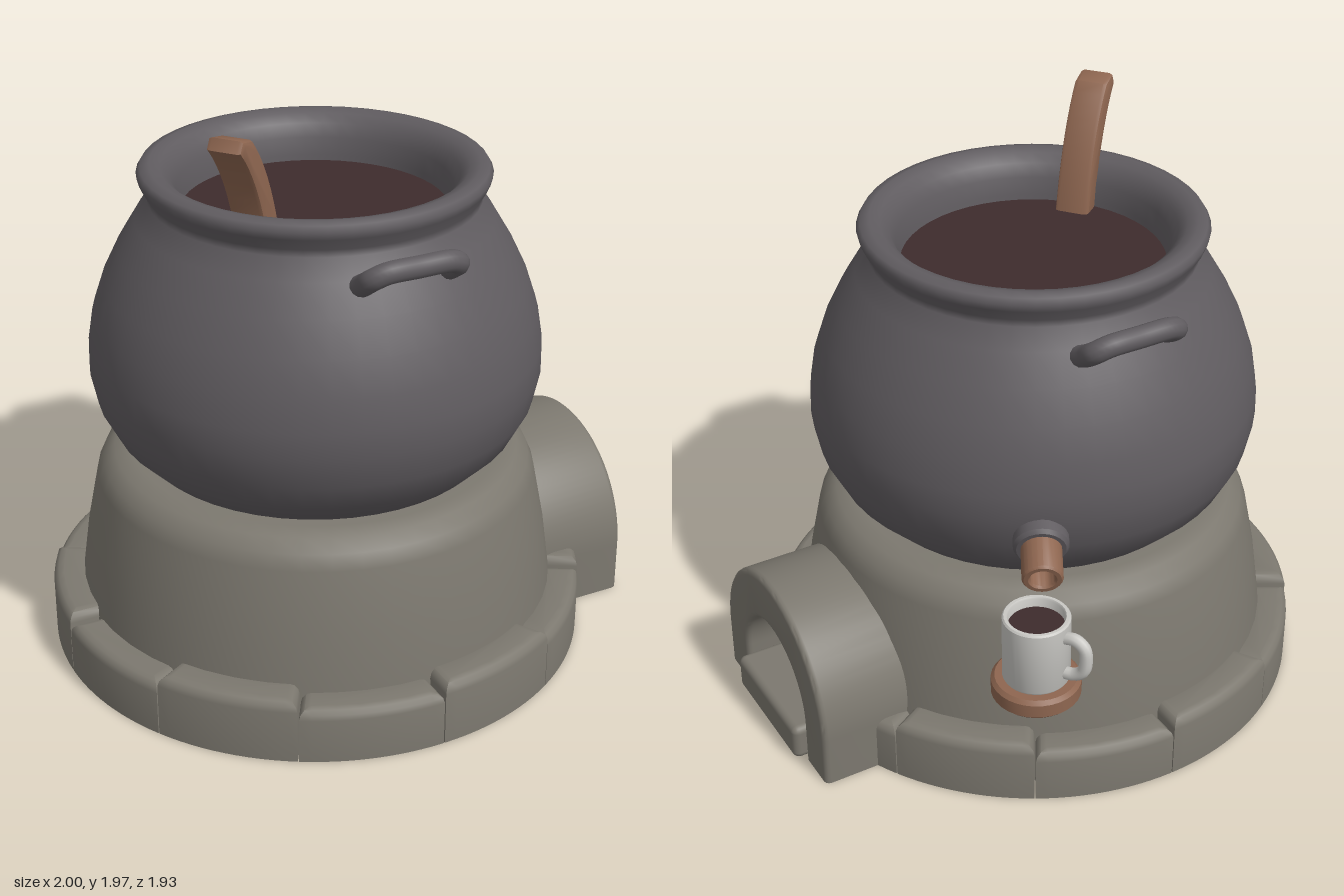
import * as THREE from 'three';
import { toCreasedNormals } from 'three/addons/utils/BufferGeometryUtils.js';
import { RoundedBoxGeometry } from 'three/addons/geometries/RoundedBoxGeometry.js';

const colour = (name, hex, extra = {}) => {
  const m = new THREE.MeshStandardMaterial({ color: hex, ...extra });
  m.name = name;
  return m;
};

const vec2 = pts => pts.map(p => new THREE.Vector2(p[0], p[1]));
const vec3 = pts => new THREE.CatmullRomCurve3(pts.map(p => new THREE.Vector3(...p)));

export function createModel() {
  const stone = colour('stone', 0x7c786f, { side: THREE.DoubleSide });
  const iron = colour('castIron', 0x605c60);
  const wood = colour('wood', 0x8e6650);
  const brew = colour('brew', 0x3e2c2d);
  const china = colour('china', 0xc9c8c4);

  const model = new THREE.Group();
  model.name = 'cauldronOnHearth';
  const body = new THREE.Group(); // everything centred on the pot's axis
  body.name = 'body';
  body.position.set(-0.075, 0, 0.035);
  model.add(body);

  const add = (parent, name, geometry, material) => {
    const mesh = new THREE.Mesh(geometry, material);
    mesh.name = name;
    parent.add(mesh);
    return mesh;
  };

  // Hollow hearth wall
  add(body, 'hearth', new THREE.LatheGeometry(vec2([
    [0.84, 0], [0.825, 0.2], [0.797, 0.4], [0.757, 0.6], [0.735, 0.65], [0.695, 0.688], [0.64, 0.7], [0.5, 0.7],
  ]), 48), stone);

  // Ring of rounded kerb stones, alternating in height
  const bevel = 0.035;
  for (let i = 0; i < 12; i++) {
    const a0 = i * Math.PI / 6 + 0.002, a1 = (i + 1) * Math.PI / 6 - 0.002;
    const h = i % 2 ? 0.222 : 0.192;
    const s = new THREE.Shape();
    s.absarc(0, 0, 0.93, a0, a1, false);
    s.absarc(0, 0, 0.79, a1, a0, true);
    s.closePath();
    const g = new THREE.ExtrudeGeometry(s, {
      depth: h - bevel, bevelThickness: bevel, bevelSize: bevel, bevelOffset: -bevel, bevelSegments: 3, curveSegments: 6,
    });
    g.rotateX(-Math.PI / 2);
    const p = g.attributes.position; // flat underside on the ground
    for (let k = 0; k < p.count; k++) if (p.getY(k) < 0) p.setY(k, 0);
    // -z side starts one step further round so that heights alternate
    add(body, 'kerbStone', toCreasedNormals(g, 0.65), stone).rotation.y = -Math.PI / 3;
  }

  // Fire door: arch with an open mouth, facing +x
  const arch = new THREE.Shape();
  arch.moveTo(0.395, 0);
  arch.lineTo(0.395, 0.18);
  arch.absarc(0, 0.18, 0.395, 0, Math.PI, false);
  arch.lineTo(-0.395, 0);
  arch.lineTo(-0.235, 0);
  arch.lineTo(-0.235, 0.158);
  arch.absarc(0, 0.158, 0.235, Math.PI, 0, true);
  arch.lineTo(0.235, 0);
  arch.closePath();
  const archGeo = new THREE.ExtrudeGeometry(arch, {
    depth: 0.33, bevelThickness: 0.02, bevelSize: 0.02, bevelOffset: -0.02, bevelSegments: 3, curveSegments: 24,
  });
  archGeo.rotateY(Math.PI / 2);
  const ap = archGeo.attributes.position;
  for (let k = 0; k < ap.count; k++) if (ap.getY(k) < 0.025) ap.setY(k, 0);
  add(body, 'fireArch', toCreasedNormals(archGeo, 0.65), stone).position.x = 0.685;

  // Sill slab in the mouth
  add(body, 'sill', new RoundedBoxGeometry(0.41, 0.132, 0.472, 3, 0.025), stone).position.set(0.87, 0.066, 0);

  // Pot with rolled rim and inner wall
  add(body, 'pot', new THREE.LatheGeometry(vec2([
    [0, 0.6], [0.35, 0.61], [0.5, 0.65], [0.6, 0.7], [0.69, 0.79], [0.742, 0.89], [0.765, 1.0], [0.763, 1.09],
    [0.745, 1.2], [0.708, 1.31], [0.655, 1.42], [0.595, 1.52], [0.55, 1.585], [0.552, 1.61], [0.575, 1.65],
    [0.582, 1.675], [0.57, 1.695], [0.54, 1.703], [0.505, 1.692], [0.475, 1.665], [0.455, 1.62], [0.445, 1.56], [0.44, 1.5],
  ]), 48), iron);
  const surface = add(body, 'brewSurface', new THREE.CircleGeometry(0.45, 48), brew);
  surface.rotation.x = -Math.PI / 2;
  surface.position.y = 1.54;

  // Tilted loop handles, front and back
  for (const side of [1, -1]) {
    const path = vec3([
      [-0.153, 1.485, 0.54], [-0.153, 1.515, 0.6], [-0.148, 1.55, 0.65], [-0.11, 1.57, 0.668],
      [0, 1.572, 0.67], [0.11, 1.57, 0.668], [0.148, 1.55, 0.65], [0.153, 1.515, 0.6], [0.153, 1.485, 0.54],
    ].map(([x, y, z]) => [x, y, z]));
    const handle = add(body, side > 0 ? 'frontHandle' : 'backHandle', new THREE.TubeGeometry(path, 40, 0.036, 12), iron);
    handle.rotation.y = side > 0 ? 0 : Math.PI;
    handle.position.x = 0.018;
  }

  // Curved stirring paddle leaning on the rim
  const paddle = new THREE.Shape();
  paddle.moveTo(0.35, 1.48);
  paddle.quadraticCurveTo(0.41, 1.8, 0.55, 1.95);
  paddle.lineTo(0.615, 1.965);
  paddle.lineTo(0.635, 1.93);
  paddle.quadraticCurveTo(0.49, 1.78, 0.44, 1.48);
  paddle.closePath();
  const paddleGeo = new THREE.ExtrudeGeometry(paddle, {
    depth: 0.09, bevelThickness: 0.015, bevelSize: 0.015, bevelOffset: -0.015, bevelSegments: 2, curveSegments: 10,
  });
  paddleGeo.translate(0, 0, -0.045);
  add(body, 'paddle', toCreasedNormals(paddleGeo, 0.65), wood).rotation.y = Math.PI + Math.atan2(0.62, 0.78);

  // Spigot: iron collar and hollow wooden spout pointing out and slightly down
  const spigot = new THREE.Group();
  spigot.name = 'spigot';
  const out = new THREE.Vector3(0.48, -0.3, -0.877).normalize();
  spigot.quaternion.setFromUnitVectors(new THREE.Vector3(0, 1, 0), out);
  spigot.position.set(0.48 * 0.72, 0.935, -0.877 * 0.72);
  body.add(spigot);
  const tubeProfile = (pts, seg) => toCreasedNormals(new THREE.LatheGeometry(vec2(pts), seg), 0.65);
  add(spigot, 'collar', tubeProfile([[0.09, -0.05], [0.09, 0.055], [0.08, 0.068], [0, 0.068]], 24), iron);
  add(spigot, 'spout', tubeProfile([
    [0.066, 0], [0.066, 0.18], [0.06, 0.188], [0.046, 0.188], [0.04, 0.18], [0.04, 0.08], [0, 0.08],
  ], 24), wood);

  // Mug on a round wooden stand
  const mug = new THREE.Group();
  mug.name = 'mugAndStand';
  mug.position.set(0.4, 0, -0.79);
  model.add(mug);
  add(mug, 'stand', tubeProfile([
    [0, 0.483], [0.133, 0.483], [0.145, 0.495], [0.145, 0.54], [0.133, 0.553], [0, 0.553],
  ], 32), wood);
  add(mug, 'cup', tubeProfile([
    [0, 0.553], [0.105, 0.553], [0.109, 0.56], [0.109, 0.78], [0.104, 0.786], [0.094, 0.786], [0.09, 0.78], [0.09, 0.7],
  ], 32), china);
  const coffee = add(mug, 'drink', new THREE.CircleGeometry(0.092, 32), brew);
  coffee.rotation.x = -Math.PI / 2;
  coffee.position.y = 0.75;
  const grip = vec3([
    [0.095, 0.735, 0], [0.14, 0.742, 0], [0.172, 0.72, 0], [0.178, 0.68, 0], [0.17, 0.635, 0], [0.14, 0.608, 0], [0.095, 0.6, 0],
  ]);
  add(mug, 'cupHandle', new THREE.TubeGeometry(grip, 28, 0.021, 10), china).rotation.y = Math.atan2(0.87, -0.49);

  return model;
}
